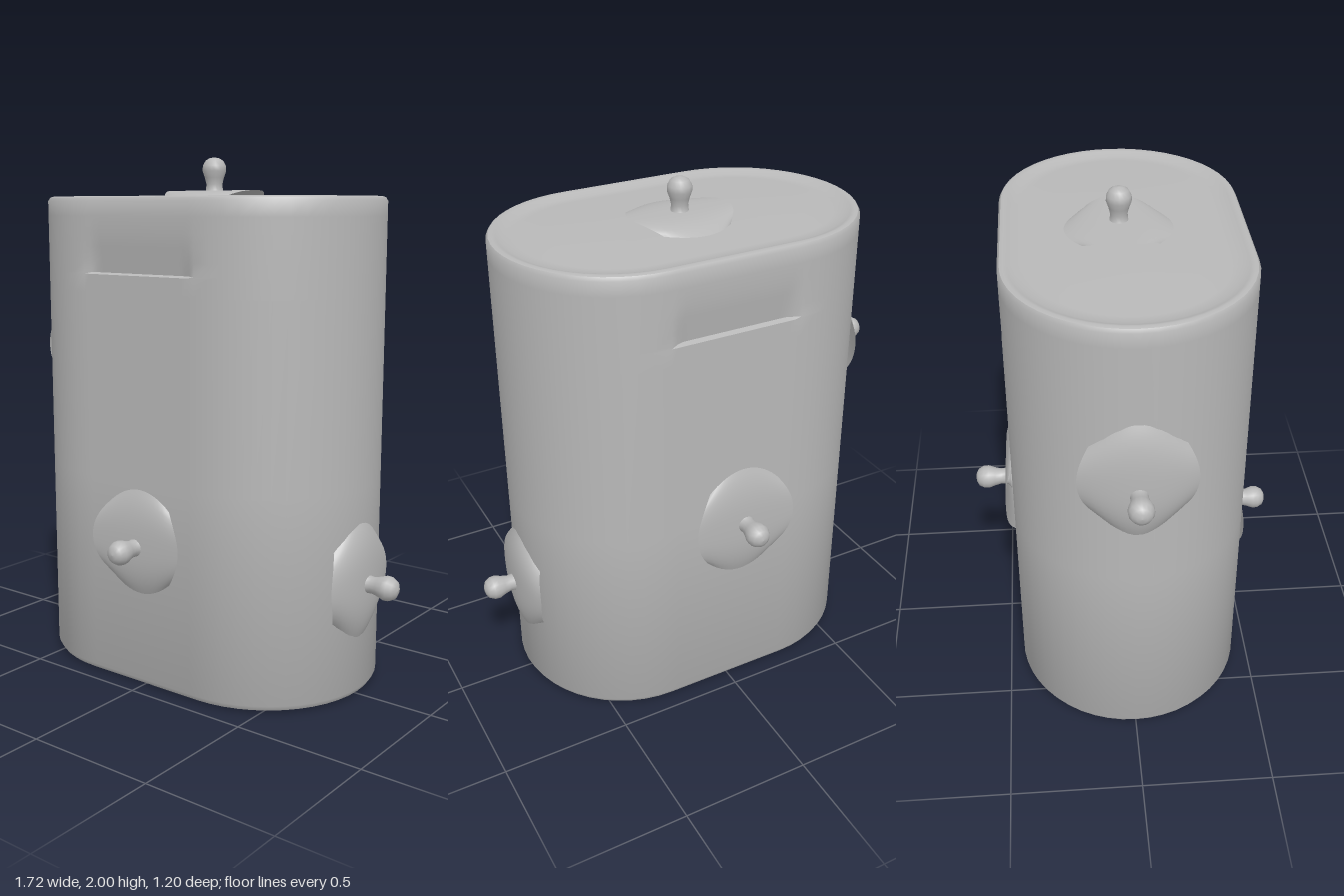
import * as THREE from 'three';
import { toCreasedNormals } from 'three/addons/utils/BufferGeometryUtils.js';

const HALF = 0.26;   // half length of the straight sides
const RADIUS = 0.445; // radius of the round ends

// Outline of the oval body at a given radius
function oval(r) {
  const pts = [], straight = 20, arc = 24;
  for (const s of [1, -1]) {
    for (let i = 0; i < straight; i++) pts.push([s * (-HALF + 2 * HALF * i / straight), s * r]);
    for (let i = 0; i < arc; i++) {
      const a = Math.PI * i / arc;
      pts.push([s * (HALF + r * Math.sin(a)), s * r * Math.cos(a)]);
    }
  }
  return pts;
}

// Stacked oval rings: closed base, plain walls, rolled rim and recessed lid
function bodyGeometry() {
  const profile = [[RADIUS, 0], [0.03, 0.008], [0.012, 0.01], [0, 0.03], [0, 0.8], [0, 1.5], [0, 1.568],
    [0, 1.574], [0, 1.62], [0, 1.67], [0, 1.72], [0, 1.78], [0, 1.835], [0.008, 1.848], [0.02, 1.852],
    [0.035, 1.848], [0.06, 1.836], [0.1, 1.836], [0.2, 1.842], [RADIUS, 1.846]];
  const pos = [], index = [];
  let count = 0;
  for (const [inset, y] of profile) {
    const ring = oval(RADIUS - inset);
    count = ring.length;
    for (const [x, z] of ring) {
      // shallow sloping grip above a ledge on the front and back
      const fade = 1 - THREE.MathUtils.smoothstep(Math.abs(x), 0.2, 0.27);
      const dent = y > 1.57 && y < 1.73 ? 0.022 * fade * (1 - (y - 1.574) / 0.15) : 0;
      pos.push(x, y, z - Math.sign(z) * Math.max(0, dent));
    }
  }
  for (let j = 0; j < profile.length - 1; j++) {
    for (let i = 0; i < count; i++) {
      const a = j * count + i, b = j * count + (i + 1) % count;
      index.push(a, b, b + count, a, b + count, a + count);
    }
  }
  const g = new THREE.BufferGeometry();
  g.setAttribute('position', new THREE.Float32BufferAttribute(pos, 3));
  g.setIndex(index);
  return toCreasedNormals(g, 0.6);
}

// Thin raised plate: ends sink into the wall, sides stay lifted
function padGeometry(width, height, lift, drop) {
  const g = new THREE.PlaneGeometry(width, height, 16, 16);
  const p = g.attributes.position;
  for (let i = 0; i < p.count; i++) {
    const u = p.getX(i) / (width / 2), v = p.getY(i) / (height / 2);
    p.setX(i, p.getX(i) * (1 - 0.35 * v * v));
    p.setY(i, p.getY(i) * (1 - 0.3 * u * u));
    p.setZ(i, lift * (1 - Math.pow(Math.abs(v), 3)) - drop * u * u - 0.004 * v * v);
  }
  g.computeVertexNormals();
  return g;
}

// Stem with a rounded tip, pointing along +z
function knobGeometry() {
  const outline = [[0.05, 0], [0.034, 0.012], [0.031, 0.04], [0.037, 0.065], [0.046, 0.09],
    [0.045, 0.11], [0.034, 0.13], [0.018, 0.139], [0, 0.142]];
  return new THREE.LatheGeometry(outline.map(([r, y]) => new THREE.Vector2(r, y)), 16).rotateX(Math.PI / 2);
}

export function createModel() {
  const grey = new THREE.MeshStandardMaterial({ color: 0xb8b8b8, side: THREE.DoubleSide });
  grey.name = 'plain grey';
  const model = new THREE.Group();
  model.name = 'canister';

  const add = (parent, name, geometry) => {
    const mesh = new THREE.Mesh(geometry, grey);
    mesh.name = name;
    parent.add(mesh);
    return mesh;
  };
  add(model, 'body', bodyGeometry());

  // Five knobs on plates: name, position, rotation, plate width, height, lift, side drop, plate offset
  const knobs = [
    ['frontKnob', [0, 0.56, 0.445], [0, 0, 0], 0.42, 0.42, 0.033, 0, 0.015],
    ['backKnob', [-0.04, 0.77, -0.445], [0, Math.PI, 0], 0.42, 0.48, 0.033, 0, 0],
    ['leftKnob', [0.703, 0.445, 0.01], [0, Math.PI / 2, 0], 0.4, 0.46, 0.036, 0.04, 0.01],
    ['rightKnob', [-0.703, 1.215, 0], [0, -Math.PI / 2, 0], 0.42, 0.5, 0.04, 0.05, 0.035],
    ['topKnob', [0, 1.845, -0.015], [-Math.PI / 2, 0, 0], 0.4, 0.4, 0.03, 0, 0],
  ];
  for (const [name, position, rotation, width, height, lift, drop, offset] of knobs) {
    const group = new THREE.Group();
    group.name = name;
    group.position.set(...position);
    group.rotation.set(...rotation);
    add(group, 'plate', padGeometry(width, height, lift, drop)).position.y = offset;
    add(group, 'knob', knobGeometry()).position.z = 0.013;
    model.add(group);
  }
  return model;
}
